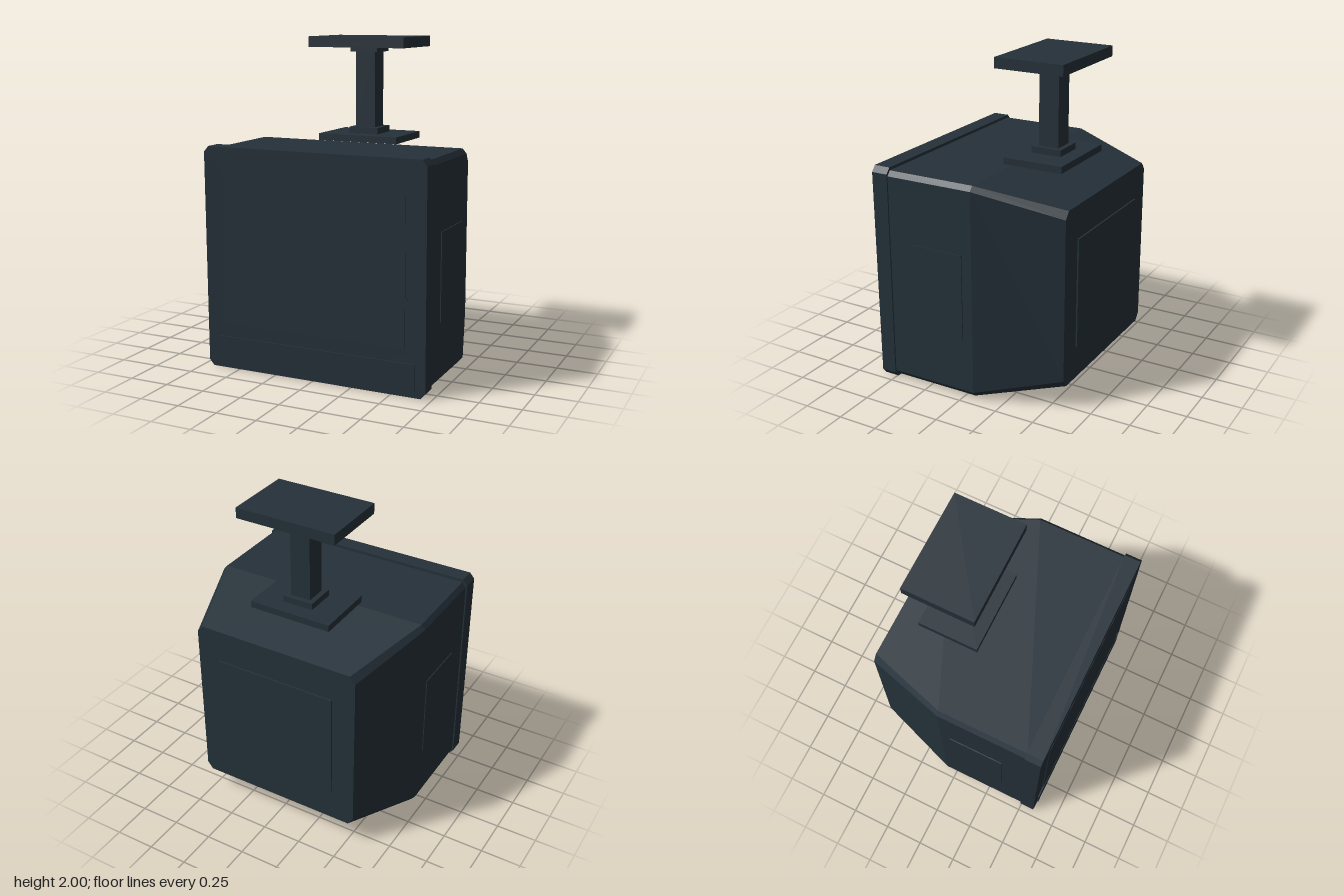
import * as THREE from 'three';

export function createModel() {
  const model = new THREE.Group();
  model.name = 'mountedMonitor';
  const casing = new THREE.MeshStandardMaterial({ color: 0x25313a, flatShading: true });
  casing.name = 'dark slate casing';

  const add = (name, geometry, parent = model) => {
    const mesh = new THREE.Mesh(geometry, casing);
    mesh.name = name;
    parent.add(mesh);
    return mesh;
  };

  // Box given by its limits on each axis
  const block = (name, x0, x1, y0, y1, z0, z1, parent) =>
    add(name, new THREE.BoxGeometry(x1 - x0, y1 - y0, z1 - z0), parent)
      .position.set((x0 + x1) / 2, (y0 + y1) / 2, (z0 + z1) / 2);

  // Rectangle with cut corners, counter-clockwise seen from the front
  const ring = ({ w, y0, y1, cx, cy, z, zTop = z }) =>
    [[w, y0 + cy], [w, y1 - cy], [w - cx, y1], [cx - w, y1],
      [-w, y1 - cy], [-w, y0 + cy], [cx - w, y0], [w - cx, y0]]
      .map(([x, y]) => [x, y, z + (zTop - z) * (y - y0) / (y1 - y0)]);

  // Closed shell through cross-sections ordered from back to front
  const loft = (sections) => {
    const rings = sections.map(ring);
    const n = 8;
    const pos = [];
    const tri = (a, b, c) => pos.push(...a, ...b, ...c);
    for (let s = 0; s < rings.length - 1; s++) {
      for (let i = 0; i < n; i++) {
        const j = (i + 1) % n;
        const a = rings[s], b = rings[s + 1];
        tri(a[i], a[j], b[j]);
        tri(a[i], b[j], b[i]);
      }
    }
    const back = rings[0], front = rings[rings.length - 1];
    for (let i = 1; i < n - 1; i++) {
      tri(back[0], back[i + 1], back[i]);
      tri(front[0], front[i], front[i + 1]);
    }
    const g = new THREE.BufferGeometry();
    g.setAttribute('position', new THREE.Float32BufferAttribute(pos, 3));
    g.computeVertexNormals();
    return g;
  };

  // Housing: straight front half, tapering towards the back
  add('housing', loft([
    { w: 0.538, y0: 0.14, y1: 1.235, cx: 0.035, cy: 0.045, z: -0.588 },
    { w: 0.704, y0: 0.017, y1: 1.347, cx: 0.025, cy: 0.03, z: -0.07 },
    { w: 0.704, y0: 0.017, y1: 1.347, cx: 0.025, cy: 0.03, z: 0.5 },
  ]));

  // Front bezel, its face leaning very slightly back at the bottom
  add('bezel', loft([
    { w: 0.713, y0: 0, y1: 1.365, cx: 0.03, cy: 0.035, z: 0.495 },
    { w: 0.713, y0: 0, y1: 1.365, cx: 0.03, cy: 0.035, z: 0.59, zTop: 0.599 },
  ]));

  // Screen with its surround, and the control strip below
  add('screenSurround', loft([
    { w: 0.6, y0: 0.245, y1: 1.25, cx: 0.02, cy: 0.02, z: 0.585 },
    { w: 0.6, y0: 0.245, y1: 1.25, cx: 0.02, cy: 0.02, z: 0.594 },
  ]));
  add('screen', loft([
    { w: 0.588, y0: 0.26, y1: 1.24, cx: 0.02, cy: 0.02, z: 0.592 },
    { w: 0.588, y0: 0.26, y1: 1.24, cx: 0.02, cy: 0.02, z: 0.6 },
  ]));
  block('controlStrip', -0.65, 0.65, 0.045, 0.2, 0.585, 0.599);

  // Shallow panels on the sides and back
  for (const [name, s] of [['leftPanel', 1], ['rightPanel', -1]]) {
    block(name, s * 0.706 - 0.004, s * 0.706 + 0.004, 0.385, 0.92, -0.005, 0.347);
  }
  block('backPanel', -0.39, 0.39, 0.345, 1.03, -0.598, -0.585);

  // Ceiling mount
  const mount = new THREE.Group();
  mount.name = 'ceilingMount';
  model.add(mount);
  block('basePlate', -0.265, 0.265, 1.353, 1.395, -0.415, -0.03, mount);
  block('lowerCollar', -0.097, 0.097, 1.39, 1.435, -0.32, -0.126, mount);
  block('post', -0.065, 0.065, 1.41, 1.94, -0.288, -0.158, mount);
  block('upperCollar', -0.09, 0.09, 1.905, 1.94, -0.313, -0.133, mount);
  block('ceilingPlate', -0.318, 0.318, 1.935, 2, -0.445, -0.003, mount);

  return model;
}
